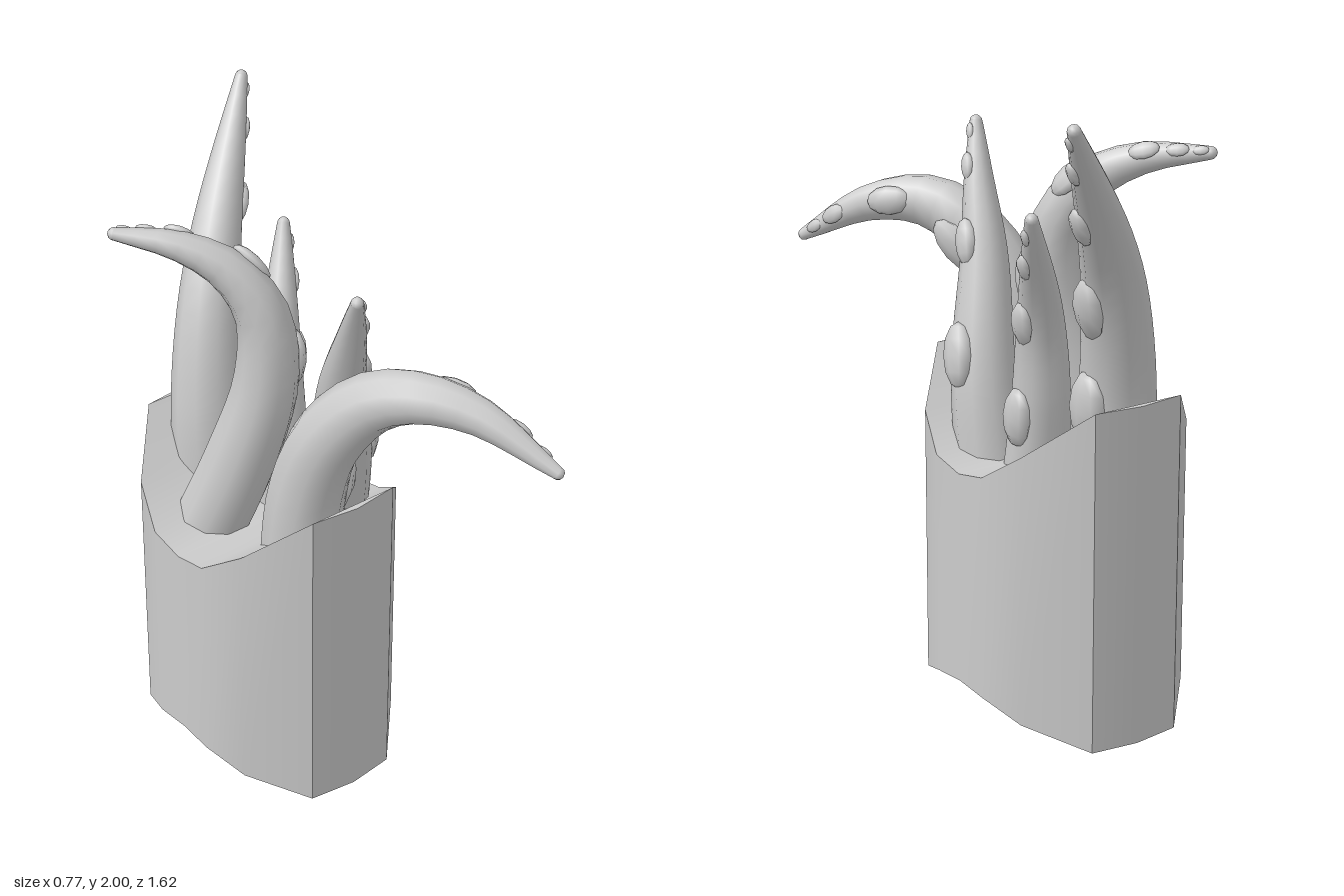
import * as THREE from 'three';
import { toCreasedNormals } from 'three/addons/utils/BufferGeometryUtils.js';

const material = new THREE.MeshStandardMaterial({ color: 0xcccccc });

// Cup outline from its middle to one end: z offset, half width, rim height, foot height
const QUARTER = [
  [0, 0.353, 0.81, 0.13], [0.122, 0.353, 0.835, 0.12], [0.26, 0.305, 0.93, 0.07],
  [0.42, 0.155, 1.08, 0], [0.44, 0, 1.08, 0],
];

function cupGeometry() {
  // half outline from front to back
  const back = QUARTER.slice(1).map(([z, ...rest]) => [-z, ...rest]);
  const outline = [...QUARTER].reverse().concat(back);
  const positions = [];
  const tri = (...corners) => corners.forEach((c) => positions.push(...c));
  const top = ([z, w, rim], side) => [w * side, rim, z];
  const foot = ([z, w, , y], side) => [w * side, y, z];
  const centre = [0, 0.07, 0];

  for (let i = 0; i < outline.length - 1; i++) {
    const p = outline[i], q = outline[i + 1];
    // wall and underside, mirrored
    for (const side of [1, -1]) {
      const [a, b] = side > 0 ? [p, q] : [q, p];
      tri(foot(a, side), foot(b, side), top(b, side));
      tri(foot(a, side), top(b, side), top(a, side));
      tri(centre, foot(b, side), foot(a, side));
    }
    // saddle-shaped top
    if (p[1] > 0) tri(top(p, -1), top(p, 1), top(q, 1));
    if (q[1] > 0) tri(top(p, -1), top(q, 1), top(q, -1));
  }
  const g = new THREE.BufferGeometry();
  g.setAttribute('position', new THREE.Float32BufferAttribute(positions, 3));
  return toCreasedNormals(g, 0.6);
}

// path: centre line from base to tip; suckers: fractions of the length
const TENTACLES = [
  {
    name: 'frontTentacle', radius: 0.125,
    path: [[-0.11, 0.78, 0.1], [-0.1, 1.1, 0.13], [-0.07, 1.3, 0.19], [0, 1.45, 0.3], [0.07, 1.5, 0.42],
      [0.17, 1.475, 0.57], [0.293, 1.34, 0.79]],
    suckers: [0.24, 0.5, 0.72, 0.88, 0.95],
  },
  {
    name: 'middleTentacle', radius: 0.108,
    path: [[0.13, 0.72, -0.05], [0.12, 1.05, 0.01], [0.055, 1.4, 0.1], [0.02, 1.6, 0.18], [-0.02, 1.77, 0.255]],
    suckers: [0.35, 0.66, 0.87, 0.97],
  },
  {
    name: 'rightTentacle', radius: 0.12, lift: 0.5,
    path: [[-0.17, 0.78, -0.28], [-0.1, 1.05, -0.2], [-0.04, 1.33, -0.15], [-0.04, 1.55, -0.17],
      [-0.1, 1.68, -0.25], [-0.2, 1.75, -0.36], [-0.335, 1.775, -0.505]],
    suckers: [0.47, 0.7, 0.86, 0.93, 0.98],
  },
  {
    name: 'shortTentacle', radius: 0.097,
    path: [[0.08, 0.72, -0.2], [0.08, 1, -0.24], [0.11, 1.3, -0.28], [0.25, 1.645, -0.435]],
    suckers: [0.27, 0.59, 0.82, 0.94],
  },
  {
    name: 'backTentacle', radius: 0.12,
    path: [[-0.06, 0.78, -0.42], [-0.05, 1.1, -0.45], [0.01, 1.4, -0.51], [0.1, 1.6, -0.585], [0.36, 1.98, -0.79]],
    suckers: [0.2, 0.46, 0.71, 0.88, 0.97],
  },
];
const TIP_RADIUS = 0.02;

function tentacle({ name, radius, path, suckers, lift = 0 }) {
  const group = new THREE.Group();
  group.name = name;
  const curve = new THREE.CatmullRomCurve3(path.map((p) => new THREE.Vector3(...p)));
  const radiusAt = (u) => THREE.MathUtils.lerp(radius, TIP_RADIUS, u * u);
  const add = (geometry, part) => {
    const mesh = new THREE.Mesh(geometry, material);
    mesh.name = part;
    group.add(mesh);
    return mesh;
  };

  // tapered arm: shrink each ring of a unit tube to its radius
  const rings = 20, sides = 10;
  const tube = new THREE.TubeGeometry(curve, rings, 1, sides);
  const pos = tube.attributes.position, v = new THREE.Vector3();
  for (let k = 0; k < pos.count; k++) {
    const u = Math.floor(k / (sides + 1)) / rings;
    const centre = curve.getPointAt(u);
    v.fromBufferAttribute(pos, k).sub(centre).multiplyScalar(radiusAt(u)).add(centre);
    pos.setXYZ(k, v.x, v.y, v.z);
  }
  add(tube, 'arm');
  add(new THREE.SphereGeometry(TIP_RADIUS, 10, 6), 'tip').position.copy(curve.getPointAt(1));

  // oval suckers along one side
  for (const u of suckers) {
    const r = radiusAt(u);
    const along = curve.getTangentAt(u);
    const out = new THREE.Vector3(1, lift, 0).projectOnPlane(along).normalize();
    const across = new THREE.Vector3().crossVectors(out, along);
    const sucker = add(new THREE.SphereGeometry(1, 8, 6), 'sucker');
    sucker.quaternion.setFromRotationMatrix(new THREE.Matrix4().makeBasis(out, along, across));
    sucker.scale.set(0.38 * r, 1.05 * r, 0.65 * r);
    sucker.position.copy(curve.getPointAt(u)).addScaledVector(out, r * 0.92);
  }
  return group;
}

export function createModel() {
  const model = new THREE.Group();
  model.name = 'tentacleCup';
  const cup = new THREE.Mesh(cupGeometry(), material);
  cup.name = 'cup';
  cup.position.set(-0.033, 0, -0.155);
  model.add(cup, ...TENTACLES.map(tentacle));
  return model;
}
